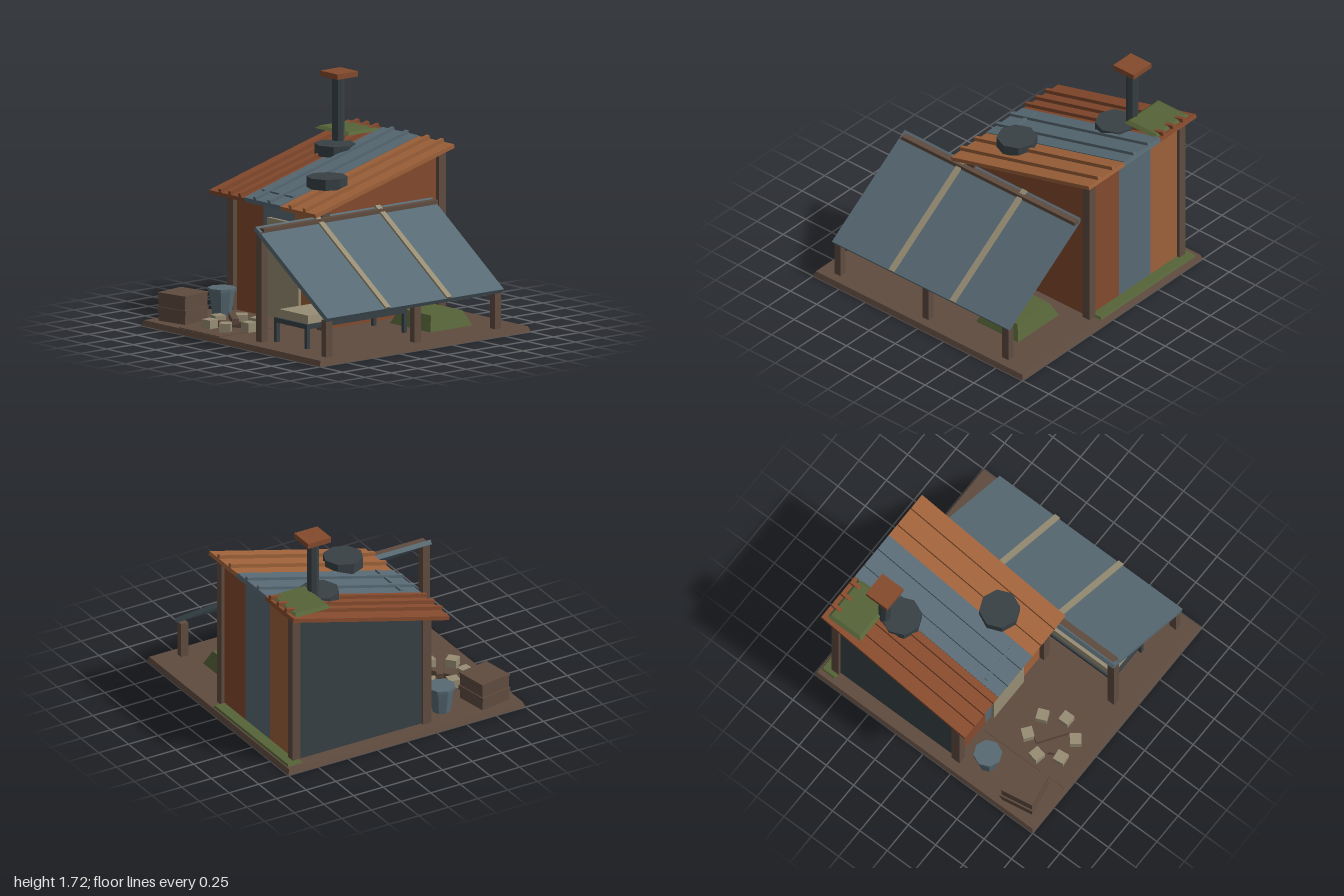
import * as THREE from 'three';

const mat = (name, color) => Object.assign(new THREE.MeshStandardMaterial({ color }), { name });

export function createModel() {
  const rust = mat('rust', 0x854a2d), orange = mat('orange metal', 0x9f623a);
  const blue = mat('blue metal', 0x586a74), wood = mat('brown wood', 0x604c40);
  const beige = mat('pale canvas', 0x988e75), iron = mat('dark iron', 0x384145);
  const moss = mat('moss', 0x566338);

  const model = new THREE.Group();
  const group = (name, x = 0, y = 0, z = 0) => {
    const g = new THREE.Group();
    g.name = name;
    g.position.set(x, y, z);
    model.add(g);
    return g;
  };
  const add = (name, geo, material, parent = model) => {
    const m = new THREE.Mesh(geo, material);
    m.name = name;
    parent.add(m);
    return m;
  };
  // Box given by its limits on each axis
  const box = (name, material, [x0, x1], [y0, y1], [z0, z1], parent = model) => {
    const m = add(name, new THREE.BoxGeometry(x1 - x0, y1 - y0, z1 - z0), material, parent);
    m.position.set((x0 + x1) / 2, (y0 + y1) / 2, (z0 + z1) / 2);
    return m;
  };
  const flat = (geo) => {
    const g = geo.index ? geo.toNonIndexed() : geo;
    g.computeVertexNormals();
    return g;
  };
  // Box whose top is inset on every side
  const frustum = (name, material, xs, ys, zs, inset, parent = model) => {
    const m = box(name, material, xs, ys, zs, parent);
    const p = m.geometry.attributes.position;
    for (let i = 0; i < p.count; i++) if (p.getY(i) > 0) {
      p.setX(i, p.getX(i) - Math.sign(p.getX(i)) * inset);
      p.setZ(i, p.getZ(i) - Math.sign(p.getZ(i)) * inset);
    }
    m.geometry = flat(m.geometry);
    return m;
  };
  // Faceted upright cylinder
  const drum = (name, material, rTop, rBottom, y0, y1, x, z, sides = 8) => {
    const m = add(name, flat(new THREE.CylinderGeometry(rTop, rBottom, y1 - y0, sides)), material);
    m.position.set(x, (y0 + y1) / 2, z);
    return m;
  };
  // Upright box from the ground, its top cut to the roof slope
  const underRoof = (name, material, [x0, x1], [z0, z1]) => {
    const geo = new THREE.BoxGeometry(x1 - x0, 1, z1 - z0);
    geo.translate((x0 + x1) / 2, 0, (z0 + z1) / 2);
    const p = geo.attributes.position;
    for (let i = 0; i < p.count; i++)
      p.setY(i, p.getY(i) > 0 ? 1.069 - 0.266 * (p.getZ(i) + 0.2875) : 0.03);
    return add(name, flat(geo), material);
  };

  // Ground
  frustum('groundSlab', wood, [-1, 1], [0, 0.04], [-1, 1], 0.015);
  box('pathPlate', wood, [-0.6, -0.15], [0.04, 0.046], [0.25, 0.98]);
  frustum('backMoss', moss, [-0.95, 0.1], [0.04, 0.055], [-0.975, -0.85], 0.008);
  frustum('sideMossMound', moss, [0.25, 0.7], [0.04, 0.15], [-0.7, -0.3], 0.05);

  // Walls: three sheets on the front and back, one on each side
  const sheets = [[-0.87, -0.55], [-0.55, -0.2], [-0.2, 0.115]];
  [rust, blue, orange].forEach((m, i) => underRoof('frontWallSheet', m, sheets[i], [0.19, 0.22]));
  [orange, blue, rust].forEach((m, i) => underRoof('backWallSheet', m, sheets[i], [-0.885, -0.855]));
  underRoof('leftWall', iron, [-0.885, -0.86], [-0.87, 0.215]);
  underRoof('rightWall', rust, [0.1, 0.125], [-0.87, 0.215]);
  for (const x of [[-0.91, -0.845], [0.09, 0.155]])
    for (const z of [[-0.91, -0.845], [0.19, 0.26]]) underRoof('cornerPost', wood, x, z);
  box('door', beige, [-0.48, -0.13], [0.04, 0.78], [0.22, 0.245]);

  // Boards over the right wall
  for (let i = 0; i < 3; i++)
    box('wallBoard', wood, [0.12, 0.145], [0.42 + i * 0.105, 0.515 + i * 0.105], [-0.56, -0.12]);

  // Sloping roof of three ribbed sheets
  const roof = group('roof', 0, 1.095, -0.2875);
  roof.rotation.x = 0.26;
  const half = 0.68;
  const panels = [
    [rust, -0.985, -0.585, 0, [-0.86, -0.75, -0.64]],
    [blue, -0.59, -0.19, 0.006, [-0.47, -0.31]],
    [orange, -0.19, 0.205, 0, [-0.075, 0.083]],
  ];
  for (const [m, x0, x1, lift, ribs] of panels) {
    box('roofSheet', m, [x0, x1], [-0.03, lift], [-half, half], roof);
    for (const x of ribs) box('roofRib', m, [x - 0.015, x + 0.015], [0, 0.028], [-half, half], roof);
  }
  box('roofCrossStrip', blue, [-0.55, -0.2], [0, 0.02], [0.51, 0.54], roof);
  frustum('roofMoss', moss, [-0.955, -0.58], [1.255, 1.275], [-0.92, -0.61], 0.025);

  // Roof weights and chimney
  drum('roofWeight', iron, 0.15, 0.15, 1.13, 1.21, -0.605, -0.505);
  drum('roofWeight', iron, 0.15, 0.15, 1.03, 1.11, -0.1, 0);
  drum('chimneyPipe', iron, 0.045, 0.045, 1.1, 1.68, -0.68, -0.6);
  box('chimneyCap', rust, [-0.775, -0.58], [1.68, 1.72], [-0.7, -0.505]);

  // Lean-to canopy with straps, beam and posts
  const canopy = group('canopy', 0.5325, 0.6075, 0);
  canopy.rotation.z = -0.603;
  box('canopySheet', blue, [-0.489, 0.489], [-0.035, 0], [-0.8, 0.875], canopy);
  for (const z of [0.305, -0.277])
    box('canopyStrap', beige, [-0.489, 0.489], [0, 0.015], [z - 0.023, z + 0.023], canopy);
  box('canopyBeam', wood, [0.14, 0.195], [0.845, 0.875], [-0.8, 0.85]);
  box('canopyTallPost', wood, [0.13, 0.19], [0.04, 0.85], [0.81, 0.87]);
  for (const z of [0.84, 0, -0.76])
    box('canopyLowPost', wood, [0.86, 0.915], [0.04, 0.31], [z - 0.03, z + 0.03]);

  // Cot
  box('cotFrame', iron, [0.225, 0.595], [0.185, 0.22], [-0.17, 0.78]);
  for (const x of [0.225, 0.565]) for (const z of [-0.17, 0.75])
    box('cotLeg', iron, [x, x + 0.03], [0.04, 0.19], [z, z + 0.03]);
  frustum('mattress', beige, [0.24, 0.58], [0.22, 0.28], [-0.155, 0.76], 0.01);
  frustum('pillow', beige, [0.27, 0.555], [0.28, 0.34], [-0.13, 0.06], 0.025);

  // Bucket
  drum('bucketBody', blue, 0.095, 0.07, 0.04, 0.22, -0.78, 0.42);
  drum('bucketRim', blue, 0.105, 0.105, 0.215, 0.24, -0.78, 0.42);

  // Crate
  const crate = group('crate', -0.8, 0, 0.772);
  crate.rotation.y = 0.17;
  box('crateBody', wood, [-0.125, 0.125], [0.04, 0.24], [-0.125, 0.125], crate);
  box('crateBand', wood, [-0.137, 0.132], [0.11, 0.145], [-0.132, 0.132], crate);
  box('crateLid', wood, [-0.13, 0.13], [0.235, 0.25], [-0.13, 0.13], crate);

  // Fire ring: six stones around two crossed logs
  const fire = group('firePit', -0.352, 0, 0.672);
  for (let i = 0; i < 6; i++) {
    const a = i * Math.PI / 3;
    const stone = box('fireStone', beige, [-0.042, 0.042], [0.04, 0.11], [-0.042, 0.042], fire);
    stone.position.x = 0.175 * Math.cos(a);
    stone.position.z = 0.175 * Math.sin(a);
    stone.rotation.y = [0, 0.7, 0.12, -0.2, -0.65, 0.4][i];
  }
  [0.6, -0.6].forEach((a, i) => {
    const y = 0.045 + i * 0.042;
    box('fireLog', wood, [-0.125, 0.125], [y, y + 0.042], [-0.024, 0.024], fire).rotation.y = a;
  });

  return model;
}
